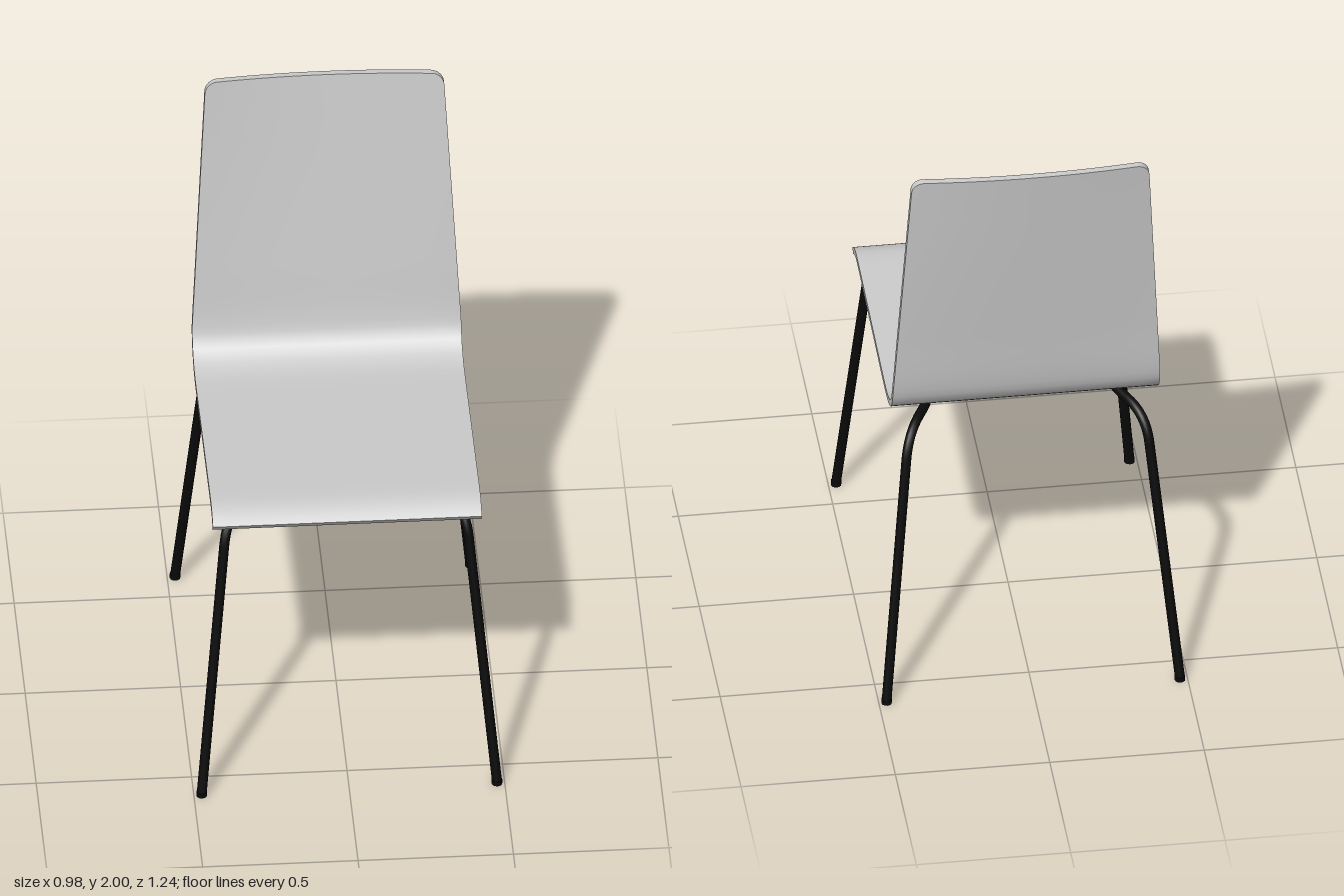
import * as THREE from 'three';

const shellGrey = new THREE.MeshStandardMaterial({ color: 0xcccccc });
shellGrey.name = 'shell grey';
const frameBlack = new THREE.MeshStandardMaterial({ color: 0x0a0a0a });
frameBlack.name = 'frame black';

// Side profile of the bent shell as [z, y], from the front lip to the top of the back
const PROFILE = [
  [0.515, 0.985], [0.485, 1.005], [0.45, 1.016], [0.4, 1.018], [0.3, 1.015],
  [0, 1.004], [-0.25, 0.995], [-0.31, 0.997], [-0.36, 1.01], [-0.4, 1.036],
  [-0.424, 1.07], [-0.437, 1.12], [-0.46, 1.32], [-0.495, 1.64], [-0.532, 2.0],
];
const THICKNESS = 0.022;
const CORNER = 0.04;
const COLUMNS = 16;

// Rows of points across the shell, offset to one side of the profile
function shellRows(offset) {
  const curve = new THREE.CatmullRomCurve3(PROFILE.map(([z, y]) => new THREE.Vector3(0, y, z)), false, 'centripetal');
  const length = curve.getLength();
  const distances = [];
  for (let i = 0; i < 70; i++) distances.push((length - CORNER) * i / 70);
  for (let i = 0; i <= 8; i++) distances.push(length - CORNER + CORNER * Math.sin(i / 8 * Math.PI / 2));
  return distances.map((d) => {
    const u = Math.min(d / length, 1);
    const p = curve.getPointAt(u);
    const t = curve.getTangentAt(u);
    const rise = THREE.MathUtils.clamp((p.y - 1.1) / 0.9, 0, 1);
    // the back tapers upward and ends in rounded corners
    const over = Math.max(0, d - (length - CORNER));
    const half = 0.433 - 0.05 * rise - CORNER + Math.sqrt(Math.max(0, CORNER * CORNER - over * over));
    const row = [];
    for (let j = 0; j <= COLUMNS; j++) {
      const k = j / COLUMNS * 2 - 1;
      const x = k * half;
      const bow = 0.022 * rise * (1 - (x / 0.39) ** 2);
      row.push(new THREE.Vector3(x, Math.min(p.y - t.z * offset, 2), p.z + t.y * offset - bow));
    }
    return row;
  });
}

function shellGeometry() {
  const upper = shellRows(THICKNESS / 2);
  const lower = shellRows(-THICKNESS / 2);
  const last = upper.length - 1;
  const positions = [];
  const index = [];
  const add = (v) => positions.push(v.x, v.y, v.z) / 3 - 1;

  // smooth upper and lower faces
  [[upper, false], [lower, true]].forEach(([rows, flip]) => {
    const ids = rows.map((row) => row.map(add));
    for (let i = 0; i < last; i++) {
      for (let j = 0; j < COLUMNS; j++) {
        const a = ids[i][j], b = ids[i][j + 1], c = ids[i + 1][j], d = ids[i + 1][j + 1];
        if (flip) index.push(a, c, b, b, c, d);
        else index.push(a, b, c, b, d, c);
      }
    }
  });

  // rim around the edge
  const outline = [];
  for (let j = 0; j < COLUMNS; j++) outline.push([0, j]);
  for (let i = 0; i < last; i++) outline.push([i, COLUMNS]);
  for (let j = COLUMNS; j > 0; j--) outline.push([last, j]);
  for (let i = last; i > 0; i--) outline.push([i, 0]);
  outline.forEach(([i, j], n) => {
    const [k, m] = outline[(n + 1) % outline.length];
    const [a, b, c, d] = [lower[i][j], lower[k][m], upper[k][m], upper[i][j]].map(add);
    index.push(a, b, c, a, c, d);
  });

  const geometry = new THREE.BufferGeometry();
  geometry.setAttribute('position', new THREE.Float32BufferAttribute(positions, 3));
  geometry.setIndex(index);
  geometry.computeVertexNormals();
  return geometry;
}

// Polyline with rounded corners
function roundedPath(points, radii) {
  const path = new THREE.CurvePath();
  let from = points[0];
  for (let i = 1; i < points.length - 1; i++) {
    const p = points[i];
    const toward = (q) => p.clone().add(q.clone().sub(p).setLength(radii[i - 1]));
    const start = toward(points[i - 1]);
    const end = toward(points[i + 1]);
    path.add(new THREE.LineCurve3(from, start));
    path.add(new THREE.QuadraticBezierCurve3(start, p, end));
    from = end;
  }
  path.add(new THREE.LineCurve3(from, points[points.length - 1]));
  return path;
}

// One bent tube forming the front and back leg of a side
function legFrame(side) {
  const group = new THREE.Group();
  group.name = side > 0 ? 'leftLegFrame' : 'rightLegFrame';
  const points = [
    [0.475, 0.008, 0.605], [0.384, 0.983, 0.458], [0.293, 0.985, 0.3],
    [0.293, 0.965, -0.29], [0.384, 0.952, -0.458], [0.475, 0.008, -0.605],
  ].map(([x, y, z]) => new THREE.Vector3(x * side, y, z));
  const path = roundedPath(points, [0.1, 0.06, 0.06, 0.1]);
  const tube = new THREE.Mesh(new THREE.TubeGeometry(path, 160, 0.016, 12), frameBlack);
  tube.name = 'legTube';
  group.add(tube);
  // floor glides
  [points[0], points[5]].forEach((p) => {
    const glide = new THREE.Mesh(new THREE.CylinderGeometry(0.017, 0.017, 0.016, 12), frameBlack);
    glide.name = 'footGlide';
    glide.position.set(p.x, 0.008, p.z);
    group.add(glide);
  });
  return group;
}

export function createModel() {
  const chair = new THREE.Group();
  chair.name = 'chair';
  const shell = new THREE.Mesh(shellGeometry(), shellGrey);
  shell.name = 'seatAndBackShell';
  chair.add(shell, legFrame(1), legFrame(-1));
  return chair;
}
